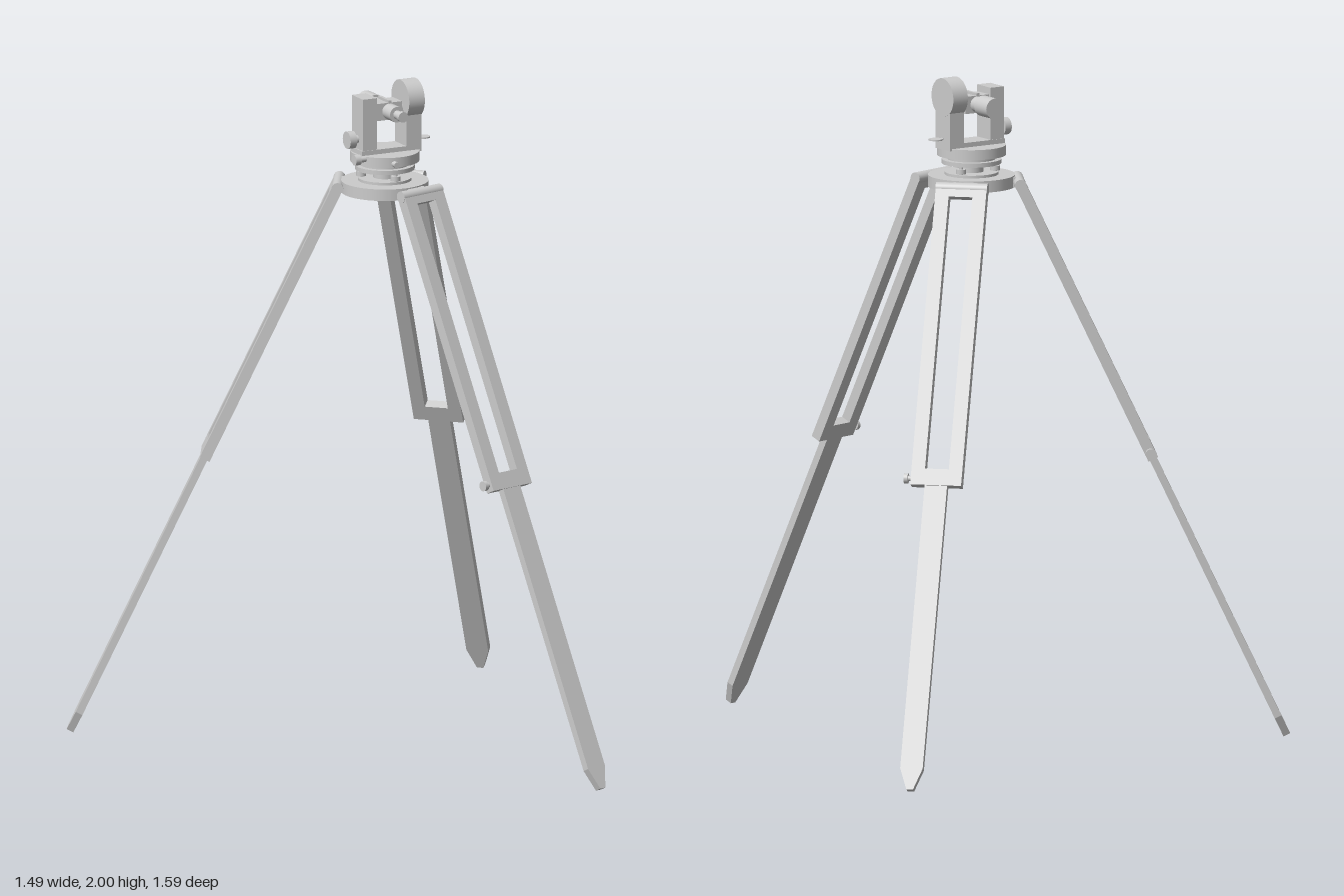
import * as THREE from 'three';

const mat = new THREE.MeshStandardMaterial({ color: 0xcccccc, side: THREE.DoubleSide });
const CX = 0.064, CZ = -0.123; // vertical axis of the instrument

function add(parent, name, geo, x = 0, y = 0, z = 0) {
  const m = new THREE.Mesh(geo, mat);
  m.name = name;
  m.position.set(x, y, z);
  parent.add(m);
  return m;
}
const box = (w, h, d) => new THREE.BoxGeometry(w, h, d);
// cylinder along 'x', 'y' or 'z'
function cyl(r, len, axis = 'y', seg = 28, r2 = r) {
  const g = new THREE.CylinderGeometry(r, r2, len, seg);
  if (axis === 'x') g.rotateZ(-Math.PI / 2);
  if (axis === 'z') g.rotateX(Math.PI / 2);
  return g;
}
const outline = pts => pts.map(p => new THREE.Vector2(...p));
function slab(shape, t) {
  return new THREE.ExtrudeGeometry(shape, { depth: t, bevelEnabled: false }).translate(0, 0, -t / 2);
}

// One leg: open frame, sliding lower bar with a pointed foot, clamp and hinge
function makeLeg(hx, hz, tx, tz) {
  const leg = new THREE.Group();
  leg.name = 'leg';
  const top = new THREE.Vector3(hx, 1.683, hz), tip = new THREE.Vector3(tx, 0.006, tz);
  const up = top.clone().sub(tip), len = up.length();
  up.normalize();
  const side = new THREE.Vector3(-(tz - hz), 0, tx - hx).normalize();
  const normal = side.clone().cross(up);
  leg.quaternion.setFromRotationMatrix(new THREE.Matrix4().makeBasis(side, up, normal));
  leg.position.copy(top);

  const mid = -len * 0.495;
  const frame = new THREE.Shape(outline([[-0.077, mid], [0.077, mid], [0.077, 0], [-0.077, 0]]));
  frame.holes.push(new THREE.Path(outline([[-0.036, mid + 0.05], [-0.036, -0.03], [0.036, -0.03], [0.036, mid + 0.05]])));
  add(leg, 'legFrame', slab(frame, 0.032));

  const bar = new THREE.Shape(outline([[-0.034, mid + 0.03], [-0.034, -len + 0.065], [-0.01, -len],
    [0.01, -len], [0.034, -len + 0.065], [0.034, mid + 0.03]]));
  add(leg, 'lowerLeg', slab(bar, 0.022));

  add(leg, 'hinge', cyl(0.0175, 0.156, 'x'));
  add(leg, 'clampScrew', cyl(0.008, 0.03, 'x', 16), 0.08, mid + 0.022, 0);
  add(leg, 'clampKnob', cyl(0.015, 0.012, 'x', 20), 0.093, mid + 0.022, 0);
  return leg;
}

function makeInstrument() {
  const g = new THREE.Group();
  g.name = 'surveyInstrument';
  g.position.set(CX, 0, CZ);

  // levelling base
  add(g, 'footPlate', cyl(0.08, 0.008), 0, 1.706, 0);
  add(g, 'centreNeck', cyl(0.035, 0.06), 0, 1.725, 0);
  for (let i = 0; i < 3; i++) {
    const a = Math.PI / 2 + i * Math.PI * 2 / 3;
    const x = 0.07 * Math.cos(a), z = 0.07 * Math.sin(a);
    add(g, 'footScrew', cyl(0.006, 0.04, 'y', 16), x, 1.722, z);
    add(g, 'footScrewKnob', cyl(0.015, 0.014, 'y', 20), x, 1.72, z);
  }
  add(g, 'levellingPlate', cyl(0.089, 0.013), 0, 1.742, 0);
  add(g, 'rotationCollar', cyl(0.072, 0.02), 0, 1.755, 0);
  add(g, 'horizontalCircle', cyl(0.103, 0.03, 'y', 48), 0, 1.776, 0);
  add(g, 'yokeBase', box(0.19, 0.018, 0.075), 0, 1.796, 0);

  // uprights carrying the tilting axis
  add(g, 'leftUpright', box(0.05, 0.17, 0.075), 0.078, 1.87, 0);
  add(g, 'rightUpright', box(0.047, 0.172, 0.072), -0.068, 1.876, 0);
  add(g, 'verticalCircle', cyl(0.058, 0.052, 'x', 40), 0.078, 1.942, 0);
  add(g, 'tiltAxis', cyl(0.018, 0.15, 'x'), 0, 1.916, 0);

  // telescope, eyepiece towards the front
  add(g, 'telescopeBlock', box(0.085, 0.052, 0.06), 0, 1.916, 0);
  add(g, 'telescopeTube', cyl(0.024, 0.16, 'z'), 0, 1.916, 0);
  add(g, 'objective', cyl(0.031, 0.064, 'z'), 0, 1.916, -0.092);
  add(g, 'eyepieceTube', cyl(0.013, 0.05, 'z'), 0, 1.916, 0.088);
  add(g, 'eyepiece', cyl(0.016, 0.014, 'z'), 0, 1.916, 0.113);
  add(g, 'sight', box(0.01, 0.01, 0.07), 0, 1.945, 0);

  // slow motion screws on the right side
  add(g, 'tiltScrew', cyl(0.012, 0.04, 'x', 20), -0.105, 1.835, 0);
  add(g, 'tiltKnob', cyl(0.026, 0.022, 'x', 24), -0.116, 1.835, 0);
  add(g, 'turnScrew', cyl(0.009, 0.05, 'x', 20), -0.1, 1.783, 0.045);
  add(g, 'turnKnob', cyl(0.016, 0.018, 'x', 20), -0.117, 1.783, 0.045);
  add(g, 'baseClamp', cyl(0.009, 0.03, 'z', 16), -0.02, 1.772, 0.103);

  // small round plate on an arm at the left side
  add(g, 'sideArm', box(0.03, 0.004, 0.012), 0.11, 1.818, 0);
  add(g, 'sidePlate', cyl(0.021, 0.004, 'y', 24), 0.128, 1.818, 0);
  return g;
}

export function createModel() {
  const model = new THREE.Group();
  model.name = 'tripodWithInstrument';

  add(model, 'tripodHead', cyl(0.13, 0.035, 'y', 48), CX, 1.684, CZ);
  // hinge x, hinge z, foot x, foot z
  const legs = [[0.111, 0.015, 0.316, 0.782], [0.168, -0.228, 0.728, -0.782], [-0.042, -0.217, -0.734, -0.612]];
  for (const l of legs) {
    model.add(makeLeg(...l));
    // lug joining the hinge to the head
    const lug = add(model, 'hingeLug', box(0.06, 0.03, 0.07), l[0] * 0.75 + CX * 0.25, 1.683, l[1] * 0.75 + CZ * 0.25);
    lug.rotation.y = Math.atan2(l[2] - l[0], l[3] - l[1]);
  }
  model.add(makeInstrument());
  return model;
}
